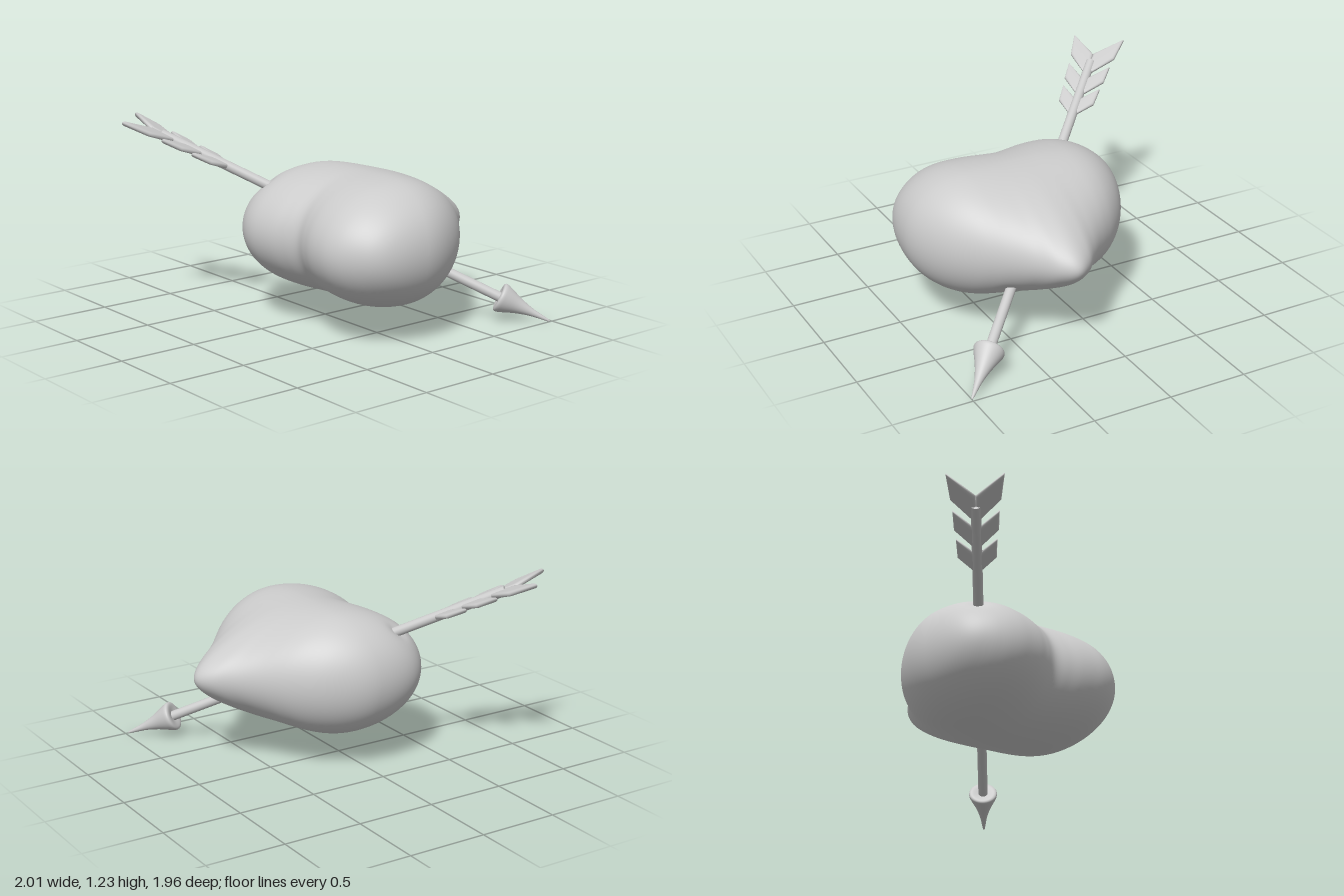
import * as THREE from 'three';
import { mergeVertices } from 'three/addons/utils/BufferGeometryUtils.js';

// Arrow frame: origin on the shaft, local +y towards the arrowhead, local x sideways
const ORIGIN = new THREE.Vector3(0, 0.653, -0.01);
const DIR = new THREE.Vector3(1, -0.646, -0.973).normalize();
const SIDE = new THREE.Vector3(0.697, 0, 0.717).normalize();
const UNIT = 1.537; // shaft length per unit of x

const material = new THREE.MeshStandardMaterial({ color: 0xcccccc });

function addMesh(parent, name, geometry) {
  const mesh = new THREE.Mesh(geometry, material);
  mesh.name = name;
  parent.add(mesh);
  return mesh;
}

// Heart lying flat, lofted from egg-shaped slices taken across its width
function heartGeometry() {
  const cx = 0.24, cy = 0.574, halfWidth = 0.717;
  // front edge, back edge and half height, from the middle slice out to the side
  const front = [0.41, 0.437, 0.468, 0.484, 0.487, 0.471, 0.438, 0.394, 0.343, 0.28, 0.2, 0.105, 0];
  const back = [-0.88, -0.83, -0.728, -0.64, -0.57, -0.507, -0.44, -0.37, -0.295, -0.218, -0.143, -0.07, 0];
  const height = [0.394, 0.394, 0.394, 0.391, 0.383, 0.365, 0.336, 0.297, 0.25, 0.196, 0.135, 0.069, 0];
  const half = front.map((f, i) => new THREE.Vector3(f, back[i], height[i]));
  const curve = new THREE.CatmullRomCurve3([...half.slice(1).reverse(), ...half], false, 'catmullrom', 0.5);

  const slices = 144, ring = 96, positions = [], index = [];
  const p = new THREE.Vector3(), rel = new THREE.Vector3();
  for (let i = 0; i <= slices; i++) {
    const t = (i / slices - 0.5) * Math.PI;
    const u = halfWidth * Math.sin(t);
    const { x: zf, y: zb, z: h } = curve.getPoint(i / slices);
    const peak = -0.09 * Math.cos(t) ** 2;
    const pinch = 0.42 * Math.exp(-((u / 0.3) ** 2)); // the back narrows towards the point
    for (let j = 0; j < ring; j++) {
      const a = (j / ring) * Math.PI * 2, c = Math.cos(a);
      const z = peak + c * (c > 0 ? zf - peak : peak - zb);
      const squeeze = c < 0 ? 1 - pinch * Math.pow(-c, 1.5) : 1;
      p.set(cx + u, cy + h * Math.sin(a) * squeeze, z);
      // small dimples where the shaft goes in and out
      rel.copy(p).sub(ORIGIN);
      const along = rel.dot(DIR);
      const dist2 = rel.lengthSq() - along * along;
      p.addScaledVector(DIR, -Math.sign(along - 0.2) * 0.02 * Math.exp(-dist2 / 0.003));
      positions.push(p.x, p.y, p.z);
      if (i < slices) {
        const k = (j + 1) % ring, r0 = i * ring, r1 = r0 + ring;
        index.push(r0 + j, r1 + j, r1 + k, r0 + j, r1 + k, r0 + k);
      }
    }
  }
  const geometry = new THREE.BufferGeometry();
  geometry.setAttribute('position', new THREE.Float32BufferAttribute(positions, 3));
  geometry.setIndex(index);
  geometry.computeVertexNormals();
  return geometry;
}

// Slanted, softly padded feather, corners given as [sideways, position along the arrow]
function featherGeometry(corners, side) {
  const shape = new THREE.Shape(corners.map(([v, x]) => new THREE.Vector2(side * v, x * UNIT)));
  const geometry = new THREE.ExtrudeGeometry(shape, {
    depth: 0.004, bevelThickness: 0.014, bevelSize: 0.022, bevelOffset: -0.022, bevelSegments: 5,
  });
  geometry.translate(0, 0, -0.002);
  geometry.deleteAttribute('normal');
  geometry.deleteAttribute('uv');
  const smooth = mergeVertices(geometry);
  smooth.computeVertexNormals();
  return smooth;
}

function createArrow() {
  const arrow = new THREE.Group();
  arrow.name = 'arrow';

  const tail = -0.74 * UNIT, headBase = 0.79 * UNIT;
  const shaft = addMesh(arrow, 'shaft', new THREE.CylinderGeometry(0.031, 0.031, headBase - tail, 32));
  shaft.position.y = (tail + headBase) / 2;

  // arrowhead: rounded base flowing into a slender point
  const profile = [[0, 1.2], [0.06, 1.185], [0.086, 1.187], [0.093, 1.203], [0.082, 1.238],
    [0.05, 1.32], [0.025, 1.41], [0.011, 1.5], [0.006, 1.53], [0, 1.537]].map(([r, y]) => new THREE.Vector2(r, y));
  const smooth = new THREE.SplineCurve(profile).getPoints(45);
  smooth.forEach((q) => { q.x = Math.max(q.x, 0); });
  addMesh(arrow, 'arrowhead', new THREE.LatheGeometry(smooth, 40));

  // three pairs of feathers, largest at the tail
  const feathers = [
    [[0, -0.66], [0.148, -0.77], [0.17, -0.887], [0, -0.785]],
    [[0, -0.535], [0.132, -0.63], [0.138, -0.718], [0, -0.63]],
    [[0, -0.42], [0.116, -0.50], [0.123, -0.587], [0, -0.51]],
  ];
  feathers.forEach((corners, i) => {
    for (const side of [-1, 1]) {
      const name = `${side > 0 ? 'left' : 'right'}Feather${i + 1}`;
      addMesh(arrow, name, featherGeometry(corners, side));
    }
  });

  const up = new THREE.Vector3().crossVectors(SIDE, DIR);
  arrow.quaternion.setFromRotationMatrix(new THREE.Matrix4().makeBasis(SIDE, DIR, up));
  arrow.position.copy(ORIGIN);
  return arrow;
}

export function createModel() {
  const model = new THREE.Group();
  model.name = 'heartWithArrow';
  addMesh(model, 'heart', heartGeometry());
  model.add(createArrow());
  return model;
}
